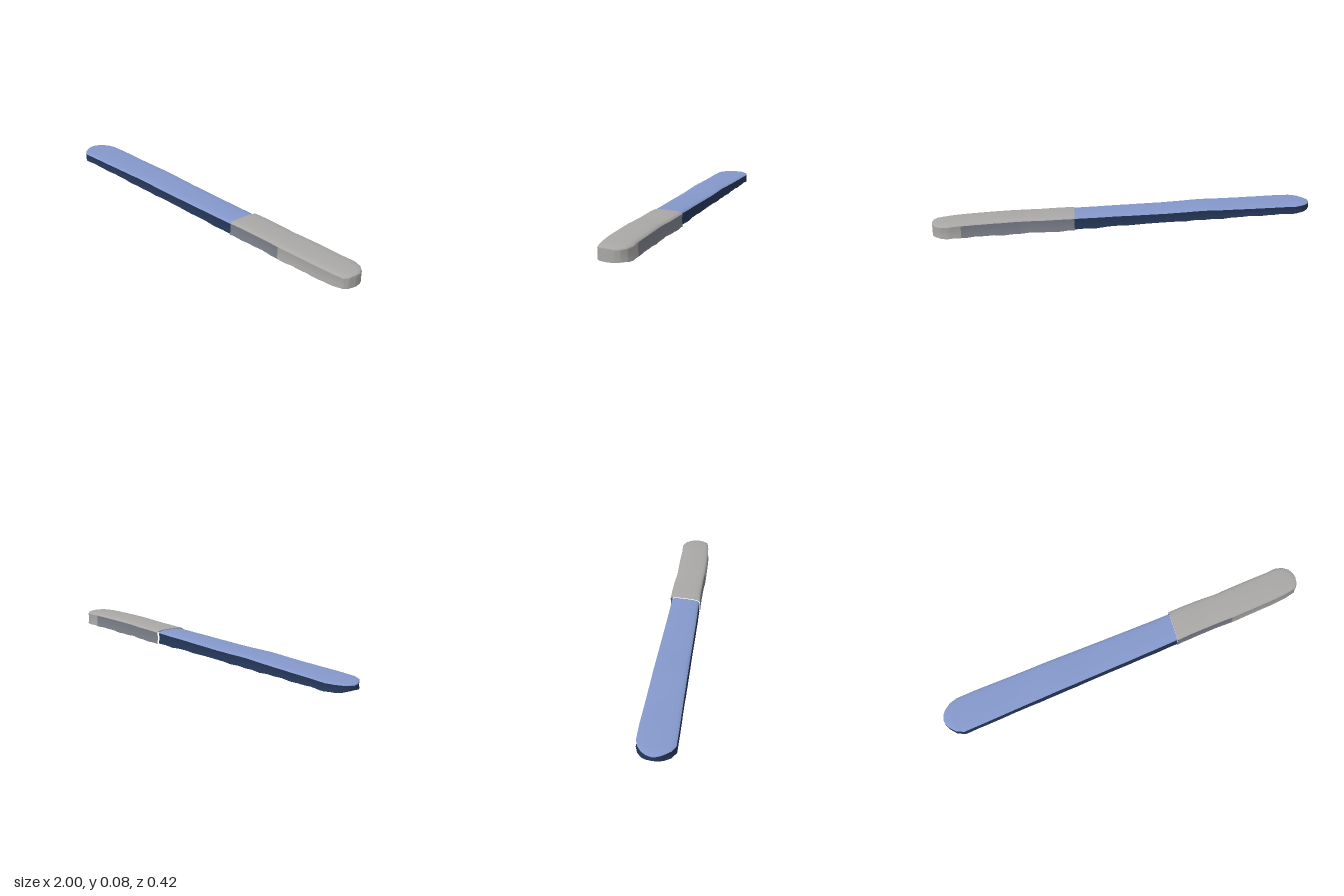
import * as THREE from 'three';

const paint = (name, color) => new THREE.MeshStandardMaterial({ name, color, side: THREE.DoubleSide });

// Stations along the strip: x, back z, front z, top y, bottom y
const BLADE = [
  [-1, 0.115, 0.115, 0.046, 0.022], [-0.995, 0.085, 0.137, 0.049, 0.02],
  [-0.98, 0.06, 0.16, 0.052, 0.016], [-0.95, 0.033, 0.19, 0.055, 0.012],
  [-0.91, 0.015, 0.205, 0.056, 0.009], [-0.8, 0, 0.19, 0.06, 0.012],
  [-0.6, -0.022, 0.16, 0.064, 0.012], [-0.4, -0.045, 0.132, 0.072, 0.01],
  [-0.2, -0.068, 0.103, 0.069, 0.012], [0.05, -0.095, 0.068, 0.073, 0.01],
  [0.28, -0.122, 0.034, 0.077, 0.006],
];
const GRIP = [
  [0.28, -0.132, 0.038, 0.081, 0.004], [0.36, -0.143, 0.025, 0.084, 0.007],
  [0.45, -0.153, 0.013, 0.084, 0.009], [0.55, -0.16, 0.001, 0.086, 0.008],
  [0.6, -0.168, -0.003, 0.087, 0.008], [0.72, -0.186, -0.02, 0.087, 0.01],
  [0.85, -0.203, -0.04, 0.086, 0.011], [0.91, -0.215, -0.052, 0.084, 0.01],
  [0.95, -0.21, -0.063, 0.082, 0.01], [0.98, -0.19, -0.073, 0.079, 0.011],
  [0.995, -0.165, -0.095, 0.076, 0.012], [1, -0.135, -0.135, 0.073, 0.012],
];

// Half profiles: across (-1 back, 1 front), height (0 rim, 1 crown)
const backWall = [[-1, 0], [-0.965, 0.28], [-0.96, 0.55], [-0.98, 0.82]];
const crown = [[-0.98, 0.82], [-0.93, 0.9], [-0.8, 0.955], [-0.5, 0.99], [0, 1],
  [0.5, 0.99], [0.8, 0.955], [0.93, 0.9], [0.98, 0.82]];
const frontWall = backWall.map(([u, v]) => [-u, v]).reverse();

// Skin a profile over the stations between two x positions
function skin(name, stations, profile, material, from = -2, to = 2) {
  const rows = [];
  stations.forEach((s, i) => {
    const next = stations[i + 1];
    const steps = next ? 4 : 1;
    for (let k = 0; k < steps; k++) {
      const row = next ? s.map((v, n) => v + (next[n] - v) * k / steps) : s;
      if (row[0] >= from - 1e-6 && row[0] <= to + 1e-6) rows.push(row);
    }
  });
  const pos = [], index = [], n = profile.length;
  for (const [x, zb, zf, top, base] of rows) {
    // Slightly uneven lower rim
    const rim = base + 0.003 * Math.sin(x * 47) * Math.cos(x * 19);
    for (const [u, v] of profile) {
      pos.push(x, rim + (top - rim) * v, (zb + zf) / 2 + u * (zf - zb) / 2);
    }
  }
  for (let i = 0; i < rows.length - 1; i++) {
    for (let j = 0; j < n - 1; j++) {
      const a = i * n + j, c = a + n;
      index.push(a, a + 1, c, a + 1, c + 1, c);
    }
  }
  const geo = new THREE.BufferGeometry();
  geo.setAttribute('position', new THREE.Float32BufferAttribute(pos, 3));
  geo.setIndex(index);
  geo.computeVertexNormals();
  const mesh = new THREE.Mesh(geo, material);
  mesh.name = name;
  return mesh;
}

export function createModel() {
  const blue = paint('soft blue', 0x8498cb);
  const navy = paint('dark navy', 0x263759);
  const grey = paint('light grey', 0xa9a8a6);
  const slate = paint('slate grey', 0x7c808a);

  // Long blade: an open-bottomed shell with dark side walls
  const blade = new THREE.Group();
  blade.name = 'blade';
  blade.add(
    skin('bladeTop', BLADE, crown, blue),
    skin('bladeBackWall', BLADE, backWall, navy),
    skin('bladeFrontWall', BLADE, frontWall, navy),
  );

  // Grip: slightly larger shell, side walls darker towards the blade
  const grip = new THREE.Group();
  grip.name = 'grip';
  grip.add(
    skin('gripTop', GRIP, crown, grey),
    skin('gripBackWall', GRIP, backWall, slate, 0.28, 0.85),
    skin('gripBackTip', GRIP, backWall, grey, 0.85, 1),
    skin('gripFrontWall', GRIP, frontWall, slate, 0.28, 0.6),
    skin('gripFrontTip', GRIP, frontWall, grey, 0.6, 1),
  );

  const model = new THREE.Group();
  model.name = 'strip';
  model.add(blade, grip);
  return model;
}
